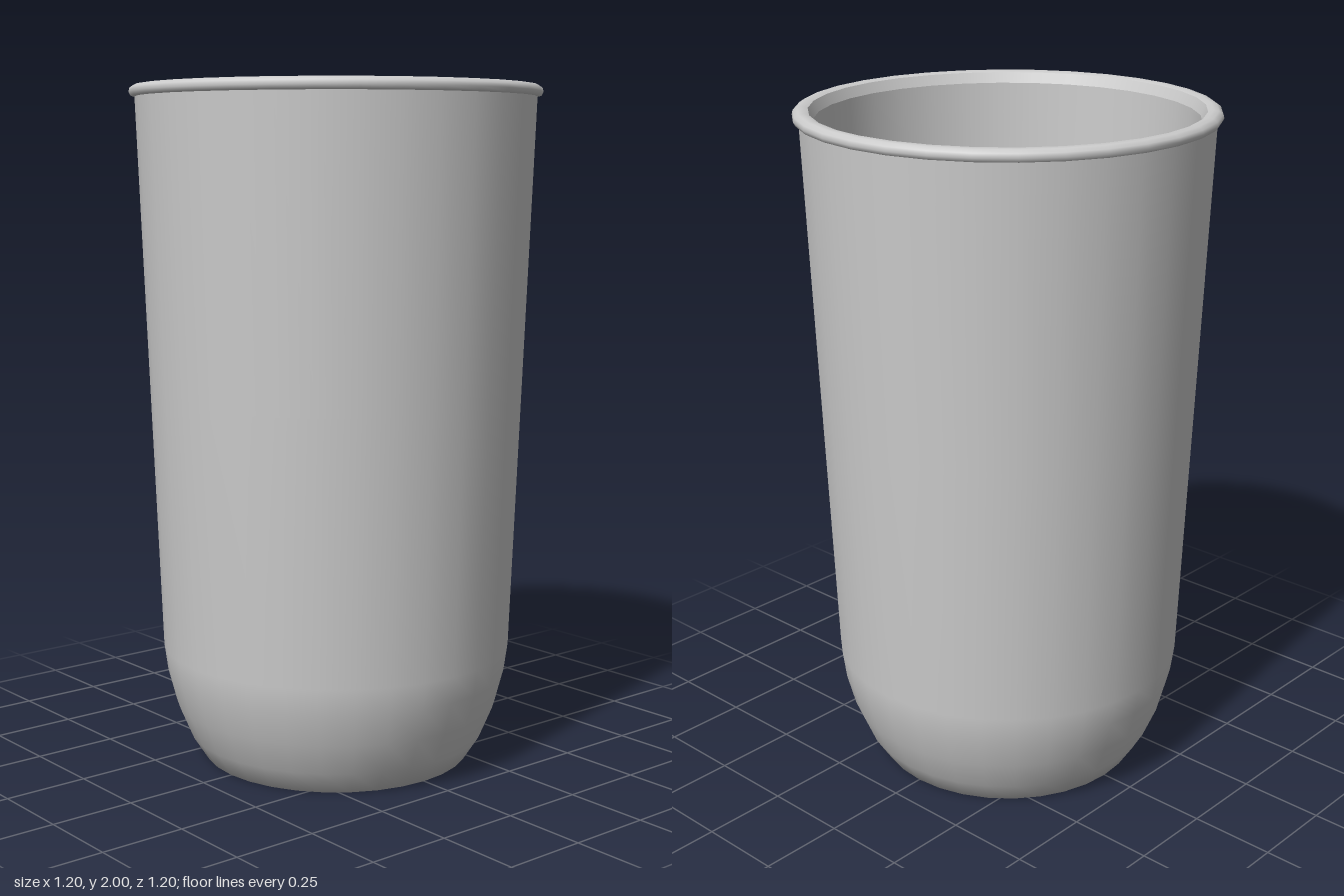
import * as THREE from 'three';

const SIDES = 32;

export function createModel() {
  const cup = new THREE.Group();
  cup.name = 'cup';
  const material = new THREE.MeshStandardMaterial({ color: 0xcccccc });

  // Revolve a [radius, height] profile around the vertical axis
  const turn = (name, profile) => {
    const points = profile.map(([r, y]) => new THREE.Vector2(r, y));
    const mesh = new THREE.Mesh(new THREE.LatheGeometry(points, SIDES), material);
    mesh.name = name;
    cup.add(mesh);
  };

  // Closed base and tapered outside wall
  turn('outerWall', [
    [0, 0], [0.4, 0], [0.445, 0.07], [0.485, 0.165], [0.51, 0.26],
    [0.521, 0.34], [0.55, 1.1], [0.583, 1.965],
  ]);

  // Rolled lip around the mouth
  turn('rim', [
    [0.583, 1.965], [0.594, 1.967], [0.6, 1.978], [0.597, 1.99],
    [0.585, 1.998], [0.57, 2], [0.555, 1.995],
  ]);

  // Bevel just inside the lip
  turn('rimBevel', [[0.555, 1.995], [0.541, 1.965]]);

  // Inside wall running down to the floor
  turn('innerWall', [
    [0.541, 1.965], [0.515, 1.1], [0.488, 0.34], [0.475, 0.26],
    [0.45, 0.165], [0.425, 0.09], [0.39, 0.035], [0, 0.035],
  ]);

  return cup;
}
